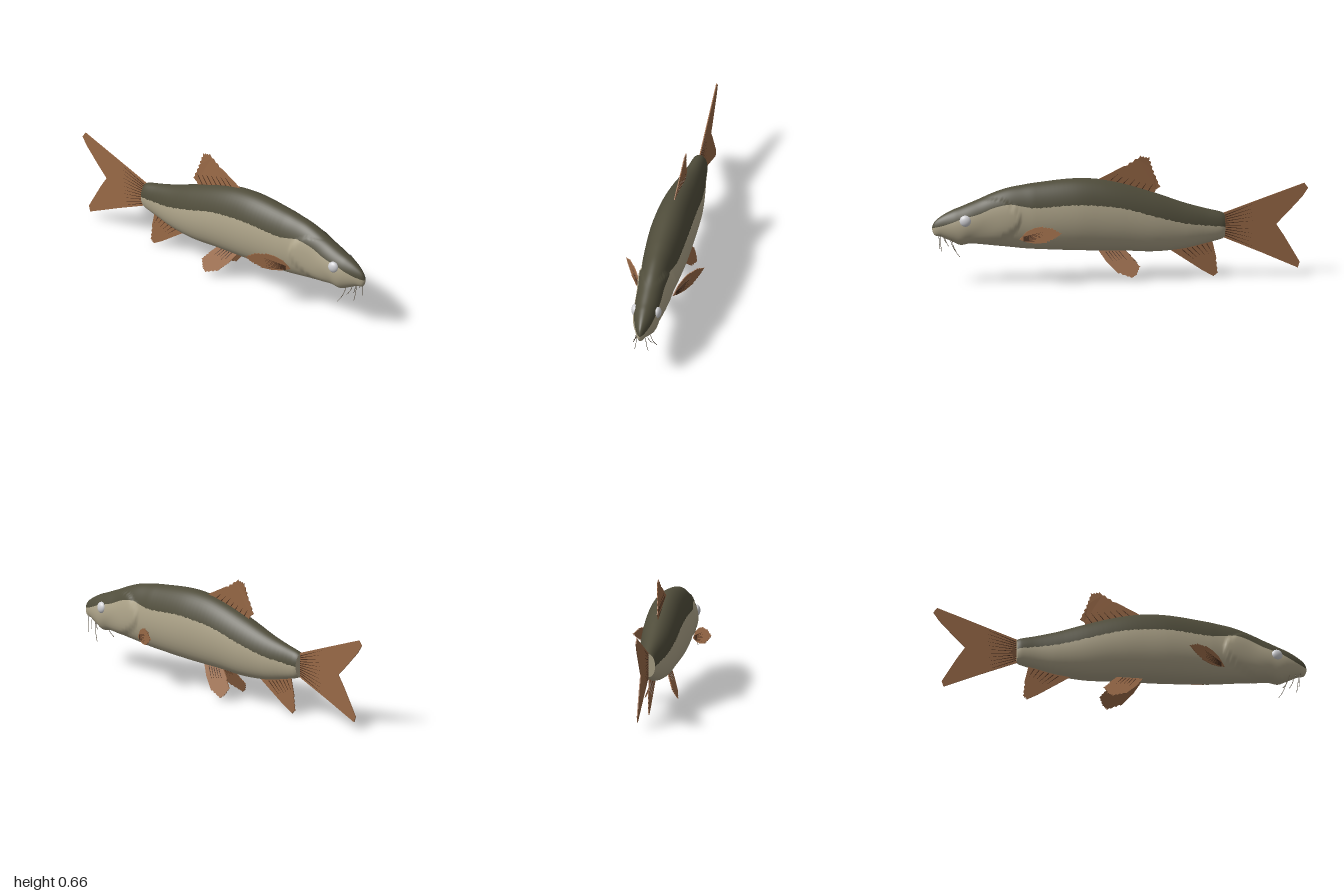
import * as THREE from 'three';

const mat = (name, color, side = THREE.FrontSide) => {
  const m = new THREE.MeshStandardMaterial({ color, side });
  m.name = name;
  return m;
};

// Body stations: z, back height, belly height, half width, colour line height
const STATIONS = [
  [1.0, 0.297, 0.295, 0.001, 0.296], [0.99, 0.326, 0.262, 0.014, 0.3],
  [0.95, 0.36, 0.25, 0.034, 0.312], [0.89, 0.392, 0.222, 0.057, 0.335],
  [0.85, 0.407, 0.205, 0.067, 0.352], [0.8, 0.427, 0.212, 0.073, 0.365],
  [0.75, 0.447, 0.208, 0.077, 0.38], [0.68, 0.477, 0.199, 0.081, 0.41],
  [0.6, 0.503, 0.19, 0.087, 0.427], [0.52, 0.517, 0.18, 0.094, 0.415],
  [0.46, 0.526, 0.175, 0.1, 0.408], [0.25, 0.545, 0.163, 0.112, 0.42],
  [0.11, 0.538, 0.158, 0.111, 0.412], [-0.02, 0.511, 0.154, 0.107, 0.392],
  [-0.18, 0.46, 0.146, 0.096, 0.345], [-0.34, 0.402, 0.158, 0.074, 0.302],
  [-0.45, 0.37, 0.182, 0.056, 0.286], [-0.54, 0.347, 0.204, 0.044, 0.276],
  [-0.555, 0.338, 0.214, 0.038, 0.274],
];

// Smooth interpolation of the stations at any z
function station(z) {
  const S = STATIONS, last = S.length - 1;
  let i = 0;
  while (i < last - 1 && z < S[i + 1][0]) i++;
  const slope = (k, c) => {
    const a = S[Math.max(k - 1, 0)], b = S[Math.min(k + 1, last)];
    return (b[c] - a[c]) / (b[0] - a[0]);
  };
  const h = S[i + 1][0] - S[i][0], t = (z - S[i][0]) / h, t2 = t * t, t3 = t2 * t;
  return [1, 2, 3, 4].map((c) =>
    (2 * t3 - 3 * t2 + 1) * S[i][c] + (t3 - 2 * t2 + t) * h * slope(i, c) +
    (3 * t2 - 2 * t3) * S[i + 1][c] + (t3 - t2) * h * slope(i + 1, c));
}

// One cross-section; the first half of its points lies above the colour line
const HALF = 24, AROUND = 48, RINGS = 160;
function ring(z, index) {
  let [top, bottom, w, line] = station(z);
  if (z < 0.5) line += 0.007 * (((index * 7) % 5) / 5 - 0.4);
  const mid = bottom + 0.47 * (top - bottom);
  const rise = line > mid ? top - mid : mid - bottom;
  const split = Math.acos(THREE.MathUtils.clamp((line - mid) / Math.max(rise, 1e-4), -0.95, 0.95));
  const points = [];
  for (let j = 0; j < AROUND; j++) {
    const t = j <= HALF ? -split + (2 * split * j) / HALF
      : split + ((2 * Math.PI - 2 * split) * (j - HALF)) / HALF;
    const s = Math.sin(t), c = Math.cos(t);
    const y = mid + c * (c > 0 ? top - mid : mid - bottom);
    // Gill cover: raised up to a curved rear edge
    const edge = 0.535 + 9 * (y - 0.35) ** 2;
    const gill = THREE.MathUtils.smoothstep(z, edge, edge + 0.015) *
      (1 - THREE.MathUtils.smoothstep(z, edge + 0.03, edge + 0.2)) * (y < 0.45 ? 0.009 : 0);
    const x = Math.sign(s) * (w * Math.abs(s) ** (c > 0 ? 1 : 0.82)) + s * gill;
    points.push(new THREE.Vector3(x, y, z));
  }
  return points;
}

function bodyGeometry() {
  const pos = [], upper = [], lower = [];
  for (let i = 0; i <= RINGS; i++) {
    const z = 1 - 1.555 * (i / RINGS) ** 1.12;
    for (const p of ring(z, i)) pos.push(p.x, p.y, p.z);
    if (i === RINGS) break;
    for (let j = 0; j < AROUND; j++) {
      const a = i * AROUND + j, b = i * AROUND + ((j + 1) % AROUND);
      (j < HALF ? upper : lower).push(a, b, a + AROUND, b, b + AROUND, a + AROUND);
    }
  }
  const g = new THREE.BufferGeometry();
  g.setAttribute('position', new THREE.Float32BufferAttribute(pos, 3));
  g.setIndex([...upper, ...lower]);
  g.addGroup(0, upper.length, 0);
  g.addGroup(upper.length, lower.length, 1);
  g.computeVertexNormals();
  return g;
}

// Thin plate outlined in [z, y]; lean(y, z) gives its sideways offset
function plate(points, thickness, lean) {
  const shape = new THREE.Shape(points.map(([z, y]) => new THREE.Vector2(-z, y)));
  const g = new THREE.ExtrudeGeometry(shape, { depth: thickness, bevelEnabled: false });
  g.translate(0, 0, -thickness / 2).rotateY(Math.PI / 2);
  const p = g.attributes.position;
  for (let i = 0; i < p.count; i++) p.setX(i, p.getX(i) + lean(p.getY(i), p.getZ(i)));
  g.computeVertexNormals();
  return g;
}

// Adds small notches to the outline between two of its points
function ragged(points, from, to, depth) {
  const cz = points.reduce((s, p) => s + p[0], 0) / points.length;
  const cy = points.reduce((s, p) => s + p[1], 0) / points.length;
  const out = [];
  points.forEach((p, i) => {
    out.push(p);
    if (i < from || i >= to) return;
    const q = points[i + 1], n = 6;
    for (let k = 1; k < n; k++) {
      const z = p[0] + ((q[0] - p[0]) * k) / n, y = p[1] + ((q[1] - p[1]) * k) / n;
      const d = k % 2 ? depth / Math.hypot(cz - z, cy - y) : 0;
      out.push([z + (cz - z) * d, y + (cy - y) * d]);
    }
  });
  return out;
}

export function createModel() {
  const model = new THREE.Group();
  const back = mat('olive back', 0x504d3b);
  const belly = mat('pale belly', 0xb0a68b, THREE.DoubleSide);
  const finMat = mat('brown fin', 0x9a6a47, THREE.DoubleSide);
  const rayMat = mat('dark fin ray', 0x4b301f, THREE.DoubleSide);
  const eyeMat = mat('eye silver', 0xd2d2d6);
  const barbelMat = mat('barbel brown', 0x5a5040);

  const add = (name, geometry, material) => {
    const m = new THREE.Mesh(geometry, material);
    m.name = name;
    model.add(m);
    return m;
  };

  // Body and the flat end of the tail stalk
  add('body', bodyGeometry(), [back, belly]);
  const end = ring(-0.555, RINGS).map((p) => new THREE.Vector2(p.x, p.y));
  add('tailStalkEnd', new THREE.ShapeGeometry(new THREE.Shape(end)), belly).position.z = -0.555;

  // A fin with dark rays fanning out from its base; ray = [start, end]
  const fin = (name, outline, rays, lean) => {
    add(name, plate(outline, 0.005, lean), finMat);
    for (const [[z0, y0], [z1, y1]] of rays) {
      const len = Math.hypot(z1 - z0, y1 - y0);
      const nz = (-(y1 - y0) / len) * 0.0025, ny = ((z1 - z0) / len) * 0.0025;
      add(name + 'Ray', plate([[z0 + nz, y0 + ny], [z1, y1], [z0 - nz, y0 - ny]], 0.0075, lean), rayMat);
    }
  };
  // Evenly spread rays between two base points and two end points
  const fan = (n, a0, a1, b0, b1) => Array.from({ length: n }, (_, i) => {
    const mix = (p, q) => [0, 1].map((k) => p[k] + ((q[k] - p[k]) * i) / (n - 1));
    return [mix(a0, a1), mix(b0, b1)];
  });

  const dorsal = [[0.12, 0.525], [0.11, 0.54], [-0.02, 0.605], [-0.11, 0.66], [-0.155, 0.65],
    [-0.18, 0.575], [-0.215, 0.49], [-0.19, 0.475], [-0.18, 0.45], [0, 0.5]];
  fin('dorsalFin', ragged(dorsal, 2, 6, 0.008),
    fan(7, [0.05, 0.53], [-0.15, 0.47], [0.01, 0.565], [-0.185, 0.52]),
    (y) => Math.max(0, y - 0.53) * 0.07);

  const caudal = [[-0.545, 0.34], [-0.75, 0.412], [-0.98, 0.492], [-1, 0.465], [-0.97, 0.42],
    [-0.89, 0.335], [-0.83, 0.275], [-0.87, 0.215], [-0.955, 0.07], [-0.945, 0.038],
    [-0.75, 0.125], [-0.545, 0.212]];
  fin('tailFin', caudal,
    fan(11, [-0.55, 0.325], [-0.55, 0.225], [-0.71, 0.385], [-0.7, 0.16]), () => 0);

  const anal = [[-0.26, 0.155], [-0.35, 0.095], [-0.44, 0.035], [-0.5, 0.002], [-0.52, 0.02],
    [-0.512, 0.1], [-0.49, 0.195], [-0.4, 0.19]];
  fin('analFin', ragged(anal, 3, 5, 0.006),
    fan(6, [-0.33, 0.15], [-0.46, 0.18], [-0.4, 0.09], [-0.49, 0.13]), () => 0.003);

  const pelvic = [[0.12, 0.165], [0.08, 0.105], [0.02, 0.045], [-0.055, 0.018], [-0.08, 0.035],
    [-0.1, 0.075], [-0.065, 0.115], [-0.01, 0.17]];
  const pectoral = [[0.545, 0.24], [0.51, 0.285], [0.47, 0.308], [0.43, 0.319], [0.38, 0.315],
    [0.335, 0.29], [0.365, 0.262], [0.41, 0.235], [0.465, 0.225], [0.51, 0.229]];

  for (const side of [1, -1]) {
    const label = side > 0 ? 'left' : 'right';
    fin(label + 'PelvicFin', ragged(pelvic, 2, 6, 0.005),
      fan(5, [0.08, 0.155], [0.01, 0.155], [0.04, 0.1], [-0.03, 0.11]),
      (y) => side * (0.025 + (0.16 - y) * 0.44));
    fin(label + 'PectoralFin', ragged(pectoral, 3, 7, 0.007),
      fan(6, [0.525, 0.255], [0.525, 0.235], [0.425, 0.292], [0.435, 0.242]),
      (y, z) => side * (0.086 + (0.54 - z) * 0.6));

    // Eye set into the side of the head
    const eye = add(label + 'Eye', new THREE.SphereGeometry(1, 28, 20), eyeMat);
    eye.scale.set(0.02, 0.031, 0.031);
    eye.position.set(side * 0.06, 0.34, 0.83);
    eye.rotation.y = side * -0.2;

    // Three thin barbels hanging from the mouth
    for (const [x, y, z, dx, dy, dz] of [
      [0.024, 0.262, 0.96, 0.012, -0.085, -0.008],
      [0.03, 0.25, 0.935, 0.02, -0.045, -0.02],
      [0.038, 0.24, 0.9, 0.026, -0.09, -0.04]]) {
      const curve = new THREE.QuadraticBezierCurve3(
        new THREE.Vector3(side * x, y, z),
        new THREE.Vector3(side * (x + dx * 0.3), y + dy * 0.6, z + dz * 0.25),
        new THREE.Vector3(side * (x + dx), y + dy, z + dz));
      add(label + 'Barbel', new THREE.TubeGeometry(curve, 10, 0.0014, 6), barbelMat);
    }
  }
  return model;
}
